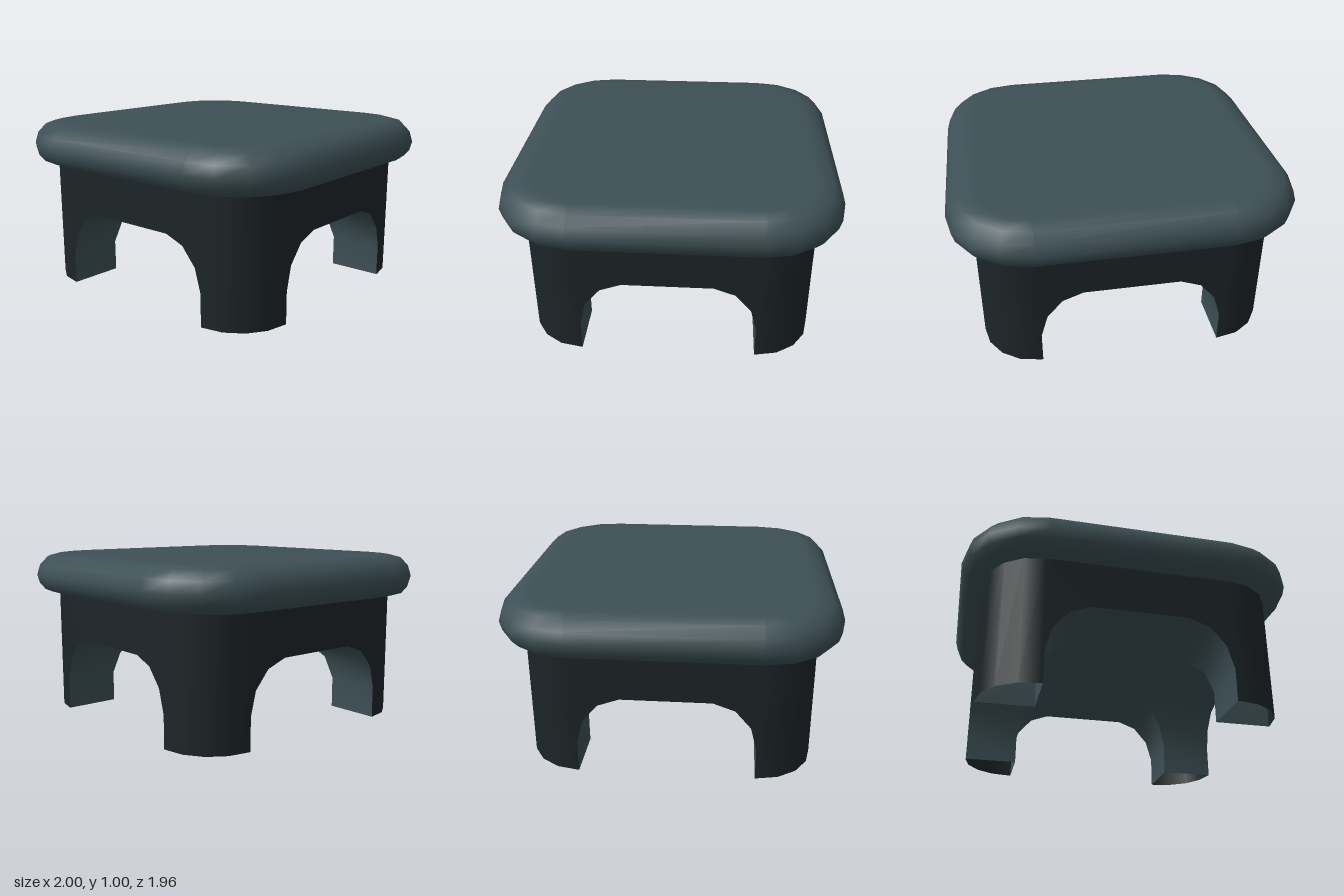
import * as THREE from 'three';
import { toCreasedNormals } from 'three/addons/utils/BufferGeometryUtils.js';

const W = 0.86, D = 0.84, BODY_TOP = 0.77;   // body half width, half depth, height
const CX = 0.54, CZ = 0.52, STEPS = 4;       // corner centres and corner facets

// Arch half-profiles from the foot up: across x, across z, and their heights
const ARCH_X = [0.53, 0.53, 0.49, 0.40, 0.28];
const ARCH_Z = [0.51, 0.51, 0.475, 0.385, 0.26];
const ARCH_Y = [0, 0.19, 0.33, 0.435, 0.48];

// Rounded-rectangle outline around the corner centres
function outline(r, y) {
  const pts = [];
  for (let c = 0; c < 4; c++) {
    const sx = c === 0 || c === 3 ? 1 : -1, sz = c < 2 ? 1 : -1;
    for (let i = 0; i <= STEPS; i++) {
      const a = (c + i / STEPS) * Math.PI / 2;
      pts.push([sx * CX + r * Math.cos(a), y, sz * CZ + r * Math.sin(a)]);
    }
  }
  return pts;
}

// Cushion-like top: outlines stacked along a rounded edge profile, then capped
function seatGeometry() {
  const profile = [[0.26, 0.755], [0.36, 0.755], [0.41, 0.77], [0.445, 0.81], [0.46, 0.865],
    [0.44, 0.93], [0.39, 0.982], [0.32, 1.0], [0.28, 1.004]];
  const loops = profile.map(([r, y]) => outline(r, y));
  const n = loops[0].length, pos = loops.flat(2), index = [];
  for (let k = 0; k < loops.length - 1; k++) {
    for (let i = 0; i < n; i++) {
      const a = k * n + i, b = k * n + (i + 1) % n;
      index.push(a, a + n, b, b, a + n, b + n);
    }
  }
  const low = pos.length / 3, high = low + 1, last = (loops.length - 1) * n;
  pos.push(0, 0.755, 0, 0, 1.005, 0);
  for (let i = 0; i < n; i++) {
    const j = (i + 1) % n;
    index.push(low, i, j, high, last + j, last + i);
  }
  const g = new THREE.BufferGeometry();
  g.setAttribute('position', new THREE.Float32BufferAttribute(pos, 3));
  g.setIndex(index);
  g.computeVertexNormals();
  return g;
}

// Flat wall with an arched opening
function wallGeometry(half, arch) {
  const pts = [[half, 0], [half, BODY_TOP], [-half, BODY_TOP], [-half, 0]];
  arch.forEach((x, i) => pts.push([-x, ARCH_Y[i]]));
  for (let i = arch.length - 1; i >= 0; i--) pts.push([arch[i], ARCH_Y[i]]);
  return new THREE.ShapeGeometry(new THREE.Shape(pts.map(p => new THREE.Vector2(...p))));
}

// Two crossing arched passages: one quadrant, mirrored to all four
function vaultGeometry() {
  const pos = [];
  const xc = ARCH_X.at(-1), zc = ARCH_Z.at(-1), yc = ARCH_Y.at(-1);
  for (const sx of [1, -1]) for (const sz of [1, -1]) {
    const quad = (...q) => {
      const p = q.map(([x, y, z]) => [x * sx, y, z * sz]);
      if (sx * sz < 0) p.reverse();
      pos.push(...[0, 1, 2, 0, 2, 3].flatMap(i => p[i]));
    };
    for (let i = 0; i < ARCH_Y.length - 1; i++) {
      const [x0, x1] = [ARCH_X[i], ARCH_X[i + 1]];
      const [z0, z1] = [ARCH_Z[i], ARCH_Z[i + 1]];
      const [y0, y1] = [ARCH_Y[i], ARCH_Y[i + 1]];
      quad([x0, y0, z0], [x0, y0, D], [x1, y1, D], [x1, y1, z1]);
      quad([x0, y0, z0], [x1, y1, z1], [W, y1, z1], [W, y0, z0]);
    }
    const ceiling = (xa, xb, za, zb) =>
      quad([xa, yc, za], [xb, yc, za], [xb, yc, zb], [xa, yc, zb]);
    ceiling(0, xc, 0, zc);
    ceiling(0, xc, zc, D);
    ceiling(xc, W, 0, zc);
  }
  const g = new THREE.BufferGeometry();
  g.setAttribute('position', new THREE.Float32BufferAttribute(pos, 3));
  return toCreasedNormals(g, 0.6);
}

export function createModel() {
  const model = new THREE.Group();
  model.name = 'stepStool';
  const top = new THREE.MeshStandardMaterial({ color: 0x3d5055 });
  const inner = new THREE.MeshStandardMaterial({ color: 0x3d5055, side: THREE.DoubleSide });
  const outer = new THREE.MeshStandardMaterial({ color: 0x1d2528, side: THREE.DoubleSide });
  const add = (name, geometry, material, parent = model) => {
    const mesh = new THREE.Mesh(geometry, material);
    mesh.name = name;
    parent.add(mesh);
    return mesh;
  };

  add('seat', seatGeometry(), top);

  // Hollow base, open under the feet
  const base = new THREE.Group();
  base.name = 'base';
  model.add(base);
  const wideWall = wallGeometry(CX, ARCH_X), sideWall = wallGeometry(CZ, ARCH_Z);
  ['frontWall', 'leftWall', 'backWall', 'rightWall'].forEach((name, i) => {
    const wall = add(name, i % 2 ? sideWall : wideWall, outer, base);
    const a = i * Math.PI / 2;
    wall.rotation.y = a;
    wall.position.set(W * Math.sin(a), 0, D * Math.cos(a));
  });

  // Rounded leg corners
  const corner = new THREE.CylinderGeometry(W - CX, W - CX, BODY_TOP, STEPS, 1, true, 0, Math.PI / 2);
  ['frontLeftLeg', 'backLeftLeg', 'backRightLeg', 'frontRightLeg'].forEach((name, i) => {
    const leg = add(name, corner, outer, base);
    leg.rotation.y = i * Math.PI / 2;
    leg.position.set(i < 2 ? CX : -CX, BODY_TOP / 2, i === 0 || i === 3 ? CZ : -CZ);
  });

  add('archedUnderside', vaultGeometry(), inner, base);
  return model;
}
